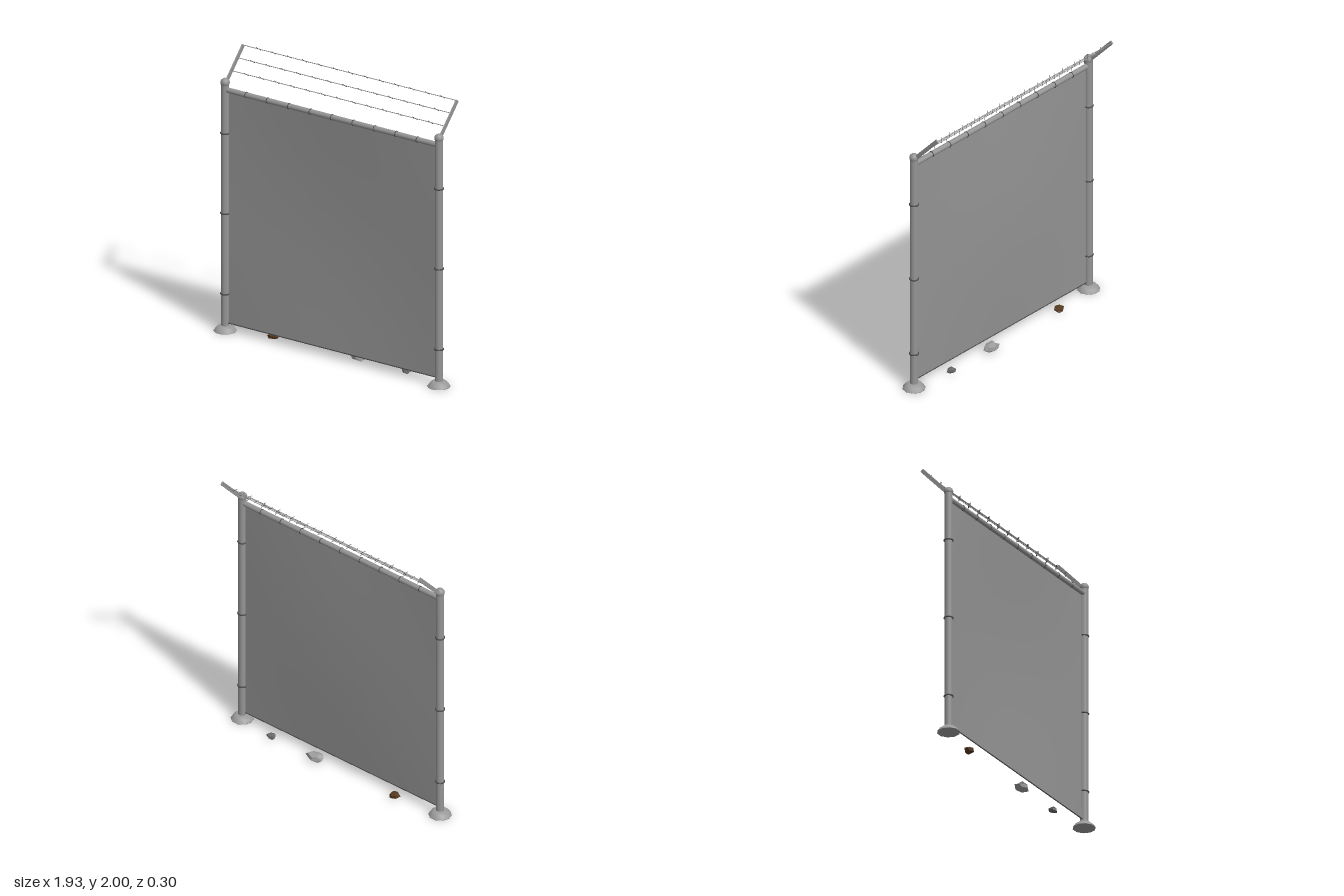
import * as THREE from 'three';

const POST_X = 0.887, Z = 0.071;
const metal = new THREE.MeshStandardMaterial({ color: 0x959595 });
const sheet = new THREE.MeshStandardMaterial({ color: 0x939393, side: THREE.DoubleSide });
const concrete = new THREE.MeshStandardMaterial({ color: 0x9a9a9a });
const dark = new THREE.MeshStandardMaterial({ color: 0x4c4c4c });
const greyStone = new THREE.MeshStandardMaterial({ color: 0x9c9c9c, flatShading: true });
const darkStone = new THREE.MeshStandardMaterial({ color: 0x686868, flatShading: true });
const brownStone = new THREE.MeshStandardMaterial({ color: 0x553a20, flatShading: true });

function add(parent, name, geometry, material, x = 0, y = 0, z = 0) {
  const mesh = new THREE.Mesh(geometry, material);
  mesh.name = name;
  mesh.position.set(x, y, z);
  parent.add(mesh);
  return mesh;
}

// Round bar between two points
function bar(parent, name, a, b, radius, sides, material) {
  const dir = b.clone().sub(a);
  const mesh = add(parent, name, new THREE.CylinderGeometry(radius, radius, dir.length(), sides), material);
  mesh.position.copy(a).lerp(b, 0.5);
  mesh.quaternion.setFromUnitVectors(new THREE.Vector3(0, 1, 0), dir.normalize());
}

const v = (x, y, z) => new THREE.Vector3(x, y, z);

// Post with concrete footing, cap, clamp bands and outrigger arm
function createPost(side) {
  const post = new THREE.Group();
  post.name = side > 0 ? 'leftPost' : 'rightPost';
  post.position.set(side * POST_X, 0, Z);

  const profile = [[0, 0], [0.079, 0], [0.079, 0.003], [0.064, 0.024], [0.043, 0.04], [0, 0.041]]
    .map(([r, y]) => new THREE.Vector2(r, y));
  add(post, 'footing', new THREE.LatheGeometry(profile, 10, Math.PI / 10), concrete);
  add(post, 'pole', new THREE.CylinderGeometry(0.028, 0.028, 1.77, 16), metal, 0, 0.9, 0);
  add(post, 'cap', new THREE.SphereGeometry(0.032, 16, 10), metal, 0, 1.784, 0);
  for (const y of [0.268, 0.847, 1.422]) {
    add(post, 'clampBand', new THREE.TorusGeometry(0.03, 0.005, 6, 16), dark, 0, y, 0).rotation.x = Math.PI / 2;
  }

  // Flat arm leaning to the back
  const from = v(0, 1.775, -0.005), to = v(0, 1.99, -0.208);
  const dir = to.clone().sub(from);
  const arm = add(post, 'outriggerArm', new THREE.BoxGeometry(0.01, dir.length(), 0.027), metal);
  arm.position.copy(from).lerp(to, 0.5);
  arm.rotation.x = Math.atan2(dir.z, dir.y);
  return post;
}

// Fence sheet, bulging slightly to the back at its middle
function createPanel() {
  const width = 1.73, height = 1.665;
  const geometry = new THREE.PlaneGeometry(width, height, 20, 20);
  const p = geometry.attributes.position;
  for (let i = 0; i < p.count; i++) {
    const bulge = Math.cos(p.getX(i) / width * Math.PI) * Math.cos(p.getY(i) / height * Math.PI);
    p.setZ(i, -0.024 * bulge);
  }
  geometry.computeVertexNormals();
  return geometry;
}

// Angular stone: a squashed dodecahedron with uneven corners
function createStone(parent, name, position, size, seed, material) {
  const geometry = new THREE.DodecahedronGeometry(1);
  const p = geometry.attributes.position;
  const point = new THREE.Vector3();
  for (let i = 0; i < p.count; i++) {
    point.fromBufferAttribute(p, i);
    const bump = Math.sin(point.x * 3.1 + point.y * 2.3 + seed) * Math.cos(point.z * 3.7 + seed * 2);
    point.multiplyScalar(1.05 + 0.18 * bump);
    p.setXYZ(i, point.x, THREE.MathUtils.clamp(point.y, -0.85, 0.85), point.z);
  }
  geometry.computeVertexNormals();
  add(parent, name, geometry, material, ...position).scale.set(...size);
}

export function createModel() {
  const fence = new THREE.Group();
  fence.name = 'fence';

  for (const side of [-1, 1]) fence.add(createPost(side));

  // Panel with its edge wires
  add(fence, 'fencePanel', createPanel(), sheet, 0, 0.89, Z);
  bar(fence, 'bottomWire', v(-0.885, 0.06, Z), v(0.885, 0.06, Z), 0.004, 6, dark);
  for (const side of [-1, 1]) {
    bar(fence, 'tensionBar', v(side * 0.858, 0.06, Z), v(side * 0.858, 1.725, Z), 0.003, 6, metal);
  }

  // Top rail with ties
  bar(fence, 'topRail', v(-POST_X, 1.734, Z), v(POST_X, 1.734, Z), 0.019, 14, metal);
  for (let i = -4; i <= 4; i++) {
    add(fence, 'railTie', new THREE.TorusGeometry(0.0195, 0.003, 6, 14), dark, i * 0.1777, 1.734, Z)
      .rotation.y = Math.PI / 2;
  }

  // Barbed wires strung between the arms
  for (const [y, z] of [[1.848, 0], [1.919, -0.07], [1.988, -0.139]]) {
    bar(fence, 'wire', v(-POST_X, y, z), v(POST_X, y, z), 0.0025, 6, metal);
    for (let i = -6; i <= 6; i++) {
      const x = i * 0.1273;
      bar(fence, 'barb', v(x - 0.012, y + 0.011, z + 0.01), v(x + 0.012, y - 0.011, z - 0.01), 0.0018, 5, dark);
    }
  }

  // Loose stones at the foot of the fence
  createStone(fence, 'brownStone', [-0.527, 0.025, 0.016], [0.037, 0.024, 0.032], 1, brownStone);
  createStone(fence, 'largeStone', [0.177, 0.034, 0.01], [0.066, 0.031, 0.041], 2.3, greyStone);
  createStone(fence, 'smallStone', [0.575, 0.024, 0.014], [0.034, 0.022, 0.028], 4, darkStone);

  return fence;
}
